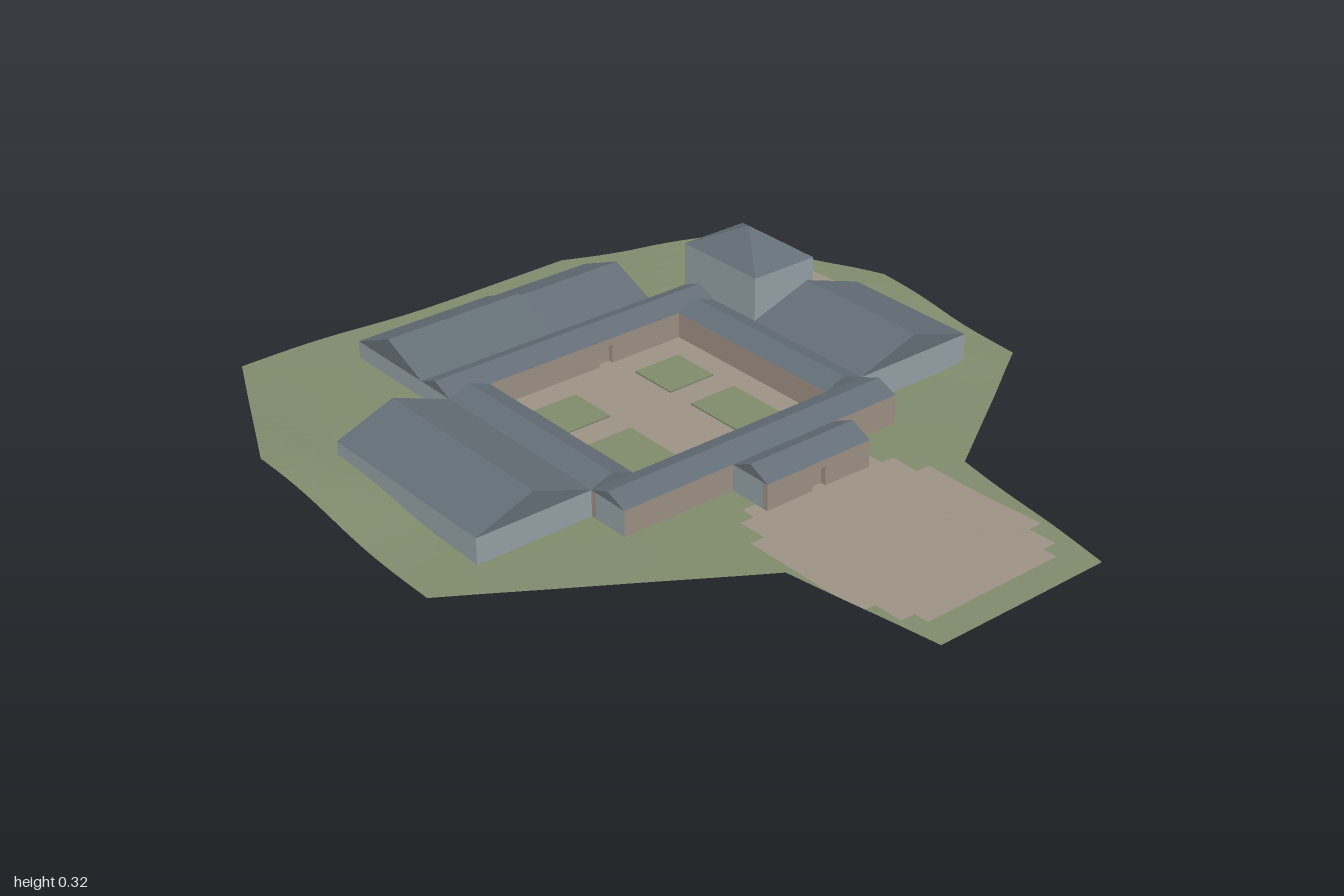
import * as THREE from 'three';

const mat = (name, color, side = THREE.FrontSide) => {
  const m = new THREE.MeshStandardMaterial({ color, side });
  m.name = name;
  return m;
};

export function createModel() {
  const group = new THREE.Group();
  const slate = mat('roofSlate', 0x636d75);
  const pale = mat('paleWall', 0x93a0a4);
  const stone = mat('stoneWall', 0x9c8f83);
  const earth = mat('bareEarth', 0x9c9184, THREE.DoubleSide);
  const grass = mat('grass', 0x7f8a6c, THREE.DoubleSide);

  const add = (name, geometry, material) => {
    const mesh = new THREE.Mesh(geometry, material);
    mesh.name = name;
    group.add(mesh);
    return mesh;
  };

  // Wall block between two corners; stoneFaces lists sides such as '+z'
  const faces = ['+x', '-x', '+y', '-y', '+z', '-z'];
  const block = (name, [x0, x1], [y0, y1], [z0, z1], stoneFaces = []) =>
    add(name, new THREE.BoxGeometry(x1 - x0, y1 - y0, z1 - z0),
      faces.map(f => (stoneFaces.includes(f) ? stone : pale)))
      .position.set((x0 + x1) / 2, (y0 + y1) / 2, (z0 + z1) / 2);

  // Gabled roof with its ridge along x or z
  const gable = (name, axis, [x0, x1], [z0, z1], eaves, ridge) => {
    const alongX = axis === 'x';
    const span = alongX ? z1 - z0 : x1 - x0;
    const length = alongX ? x1 - x0 : z1 - z0;
    const tri = new THREE.Shape([
      new THREE.Vector2(-span / 2, 0), new THREE.Vector2(span / 2, 0), new THREE.Vector2(0, ridge - eaves)]);
    const g = new THREE.ExtrudeGeometry(tri, { depth: length, bevelEnabled: false });
    g.translate(0, 0, -length / 2);
    if (alongX) g.rotateY(Math.PI / 2);
    add(name, g, slate).position.set((x0 + x1) / 2, eaves, (z0 + z1) / 2);
  };

  // Stone facing with a doorway notch, its outer face at the given position
  const T = 0.015;
  const facade = (name, left, right, top, x, z, turn) => {
    const pts = [[left, 0.05], [-0.02, 0.05], [-0.02, 0.112], [0.02, 0.112], [0.02, 0.05],
      [right, 0.05], [right, top], [left, top]].map(p => new THREE.Vector2(...p));
    const g = new THREE.ExtrudeGeometry(new THREE.Shape(pts), { depth: T, bevelEnabled: false });
    g.translate(0, 0, -T);
    g.rotateY(turn);
    add(name, g, stone).position.set(x, 0, z);
  };

  const base = 0.05, eaves = 0.13;

  // Side wings
  block('westWingWalls', [-0.76, -0.44], [base, eaves], [-0.44, 0.12]);
  gable('westWingRoof', 'z', [-0.76, -0.44], [-0.44, 0.12], eaves, 0.19);
  block('eastWingWalls', [0.4, 0.76], [0.045, eaves], [-0.28, 0.12]);
  gable('eastWingRoof', 'z', [0.4, 0.76], [-0.28, 0.12], eaves, 0.19);

  // Rear hall, in two roof heights, over its cellar
  block('rearHallWalls', [-0.44, 0.28], [0, 0.125], [-0.84, -0.56]);
  block('rearHallUpperWalls', [-0.44, -0.04], [0.125, eaves], [-0.84, -0.56]);
  gable('rearHallTallRoof', 'x', [-0.44, -0.04], [-0.84, -0.56], eaves, 0.19);
  gable('rearHallLowRoof', 'x', [-0.04, 0.28], [-0.84, -0.56], 0.125, 0.183);

  // Four cloister ranges around the court
  block('rearCellar', [-0.44, 0.4], [0, base], [-0.56, -0.44]);
  block('rearCloisterWalls', [-0.44, 0.4], [base, eaves], [-0.56, -0.44 - T], ['+z']);
  facade('rearCloisterFacing', -0.48, 0.36, eaves, 0.04, -0.44, 0);
  gable('rearCloisterRoof', 'x', [-0.44, 0.4], [-0.56, -0.44], eaves, 0.155);
  block('frontCloisterWalls', [-0.44, 0.4], [base, eaves], [0.12 + T, 0.24], ['+z', '-z']);
  facade('frontCloisterFacing', -0.36, 0.48, eaves, 0.04, 0.12, Math.PI);
  gable('frontCloisterRoof', 'x', [-0.44, 0.4], [0.12, 0.24], eaves, 0.153);
  block('westCloisterWalls', [-0.44, -0.32], [base, eaves], [-0.44, 0.12], ['+x']);
  gable('westCloisterRoof', 'z', [-0.44, -0.32], [-0.44, 0.12], eaves, 0.153);
  block('eastCloisterWalls', [0.28, 0.4], [base, eaves], [-0.44, 0.12], ['-x']);
  gable('eastCloisterRoof', 'z', [0.28, 0.4], [-0.44, 0.12], eaves, 0.153);

  // Entrance porch
  block('porchWalls', [-0.12, 0.2], [base, eaves], [0.24, 0.36 - T], ['+z']);
  facade('porchFacing', -0.16, 0.16, eaves, 0.04, 0.36, 0);
  gable('porchRoof', 'x', [-0.12, 0.2], [0.24, 0.36], eaves, 0.158);

  // Tower with a stone lower outer face and a pyramid roof
  block('towerLowerWalls', [0.4, 0.6 - T], [base, 0.19], [-0.56, -0.28], ['+x']);
  facade('towerFacing', -0.14, 0.14, 0.19, 0.6, -0.42, Math.PI / 2);
  block('towerUpperWalls', [0.4, 0.6], [0.19, 0.25], [-0.56, -0.28]);
  const pyramid = new THREE.ConeGeometry(Math.SQRT1_2, 0.07, 4, 1).toNonIndexed();
  pyramid.rotateY(Math.PI / 4);
  pyramid.scale(0.2, 1, 0.28);
  pyramid.computeVertexNormals();
  add('towerRoof', pyramid, slate).position.set(0.5, 0.285, -0.42);

  // Garden beds
  for (const [x, w] of [[-0.185, 0.13], [0.14, 0.14]])
    for (const [z, d] of [[-0.29, 0.14], [-0.05, 0.18]])
      add('gardenBed', new THREE.BoxGeometry(w, 0.009, d), grass).position.set(x, 0.06, z);

  // Ground height, blended from spot levels [x, z, y]
  const levels = [[-0.92, -0.52, 0.108], [-0.92, 0.16, 0.062], [-0.26, 0.58, 0.06], [0.4, 0.48, 0.05],
    [0.88, 0.18, 0.06], [0.92, -0.34, 0.08], [0.74, -0.82, 0.08], [0.32, -1, 0.065], [-0.7, -0.98, 0.09],
    [-0.2, 1, 0.062], [0.3, 1, 0.062], [0, 0.35, 0.06], [0.62, 0.18, 0.049], [0.66, -0.42, 0.065],
    [-0.6, 0.12, 0.06], [0, -0.8, 0.065], [-0.6, -0.5, 0.085]];
  const height = (x, z) => {
    if (x > -0.4 && x < 0.36 && z > -0.52 && z < 0.2) return 0.06;
    let sum = 0, total = 0;
    for (const [lx, lz, y] of levels) {
      const w = 1 / (Math.hypot(x - lx, z - lz) ** 3 + 1e-6);
      sum += w * y;
      total += w;
    }
    return sum / total;
  };

  // Bare earth in the court, on the approach and beside the tower
  const oval = (x, z, cx, cz, rx, rz) => Math.abs((x - cx) / rx) ** 3 + Math.abs((z - cz) / rz) ** 3 < 1;
  const isEarth = (x, z) =>
    (x > -0.4 && x < 0.36 && z > -0.52 && z < 0.2) ||
    oval(x, z, 0.04, 0.62, 0.285, 0.31) || oval(x, z, 0.64, -0.43, 0.175, 0.175);

  // Keep the part of a polygon inside a convex outline
  const clip = (poly, outline) => {
    outline.forEach((a, i) => {
      const b = outline[(i + 1) % outline.length];
      const side = p => (b[1] - a[1]) * (p[0] - a[0]) - (b[0] - a[0]) * (p[1] - a[1]);
      const out = [];
      poly.forEach((p, j) => {
        const q = poly[(j + 1) % poly.length], sp = side(p), sq = side(q);
        if (sp >= 0) out.push(p);
        if (sp * sq < 0) {
          const t = sp / (sp - sq);
          out.push([p[0] + (q[0] - p[0]) * t, p[1] + (q[1] - p[1]) * t]);
        }
      });
      poly = out;
    });
    return poly;
  };

  // Ground cells: the yard and the approach strip
  const yard = [[-0.92, -0.52], [-0.92, 0.16], [-0.26, 0.58], [0.4, 0.48], [0.88, 0.18],
    [0.92, -0.34], [0.74, -0.82], [0.32, -1], [-0.7, -0.98]];
  const approach = [[-0.26, 0.58], [-0.2, 1], [0.3, 1], [0.4, 0.48]];
  const grassPos = [], earthPos = [], S = 0.04;
  for (const outline of [yard, approach])
    for (let i = -25; i < 25; i++)
      for (let j = -25; j < 25; j++) {
        const x = i * S, z = j * S;
        const poly = clip([[x, z], [x, z + S], [x + S, z + S], [x + S, z]], outline);
        const target = isEarth(x + S / 2, z + S / 2) ? earthPos : grassPos;
        for (let k = 1; k + 1 < poly.length; k++)
          for (const [px, pz] of [poly[0], poly[k], poly[k + 1]]) target.push(px, height(px, pz), pz);
      }
  for (const [name, pos, m] of [['grassGround', grassPos, grass], ['earthGround', earthPos, earth]]) {
    const g = new THREE.BufferGeometry();
    g.setAttribute('position', new THREE.Float32BufferAttribute(pos, 3));
    g.computeVertexNormals();
    add(name, g, m);
  }
  return group;
}
